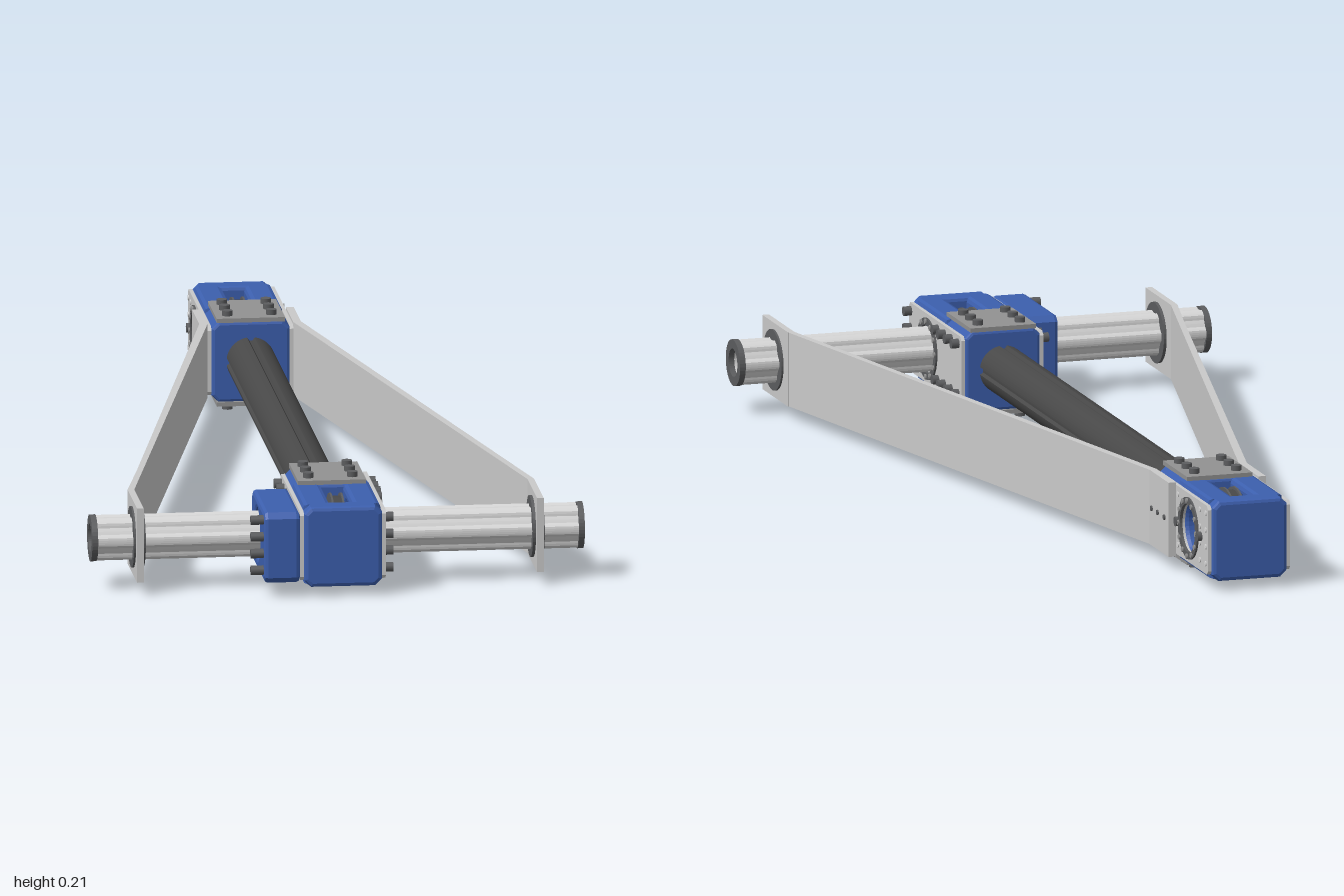
import * as THREE from 'three';

const mat = (name, color) => {
  const m = new THREE.MeshStandardMaterial({ color });
  m.name = name;
  return m;
};
const CY = 0.105;  // height of all centre lines
const AXZ = 0.867; // distance of both axles from the middle

// closed path whose radius varies with the angle
function radialPoints(r, n = 72) {
  return Array.from({ length: n }, (_, i) => {
    const a = (i / n) * Math.PI * 2;
    return new THREE.Vector2(Math.cos(a) * r(a), Math.sin(a) * r(a));
  });
}
const circle = (r, u = 0, v = 0) => new THREE.Path().absarc(u, v, r, 0, Math.PI * 2, true);

function rect(u0, u1, v0, v1, c = 0) {
  return new THREE.Shape([
    [u0 + c, v0], [u1 - c, v0], [u1, v0 + c], [u1, v1 - c],
    [u1 - c, v1], [u0 + c, v1], [u0, v1 - c], [u0, v0 + c],
  ].map(p => new THREE.Vector2(...p)));
}

// extrude along z, or along x (where the shape's u axis runs along -z)
function extrude(shape, depth, bevel = 0) {
  const g = new THREE.ExtrudeGeometry(shape, {
    depth: depth - 2 * bevel, bevelEnabled: bevel > 0, bevelSize: bevel,
    bevelOffset: -bevel, bevelThickness: bevel, bevelSegments: 2, curveSegments: 20,
  });
  return g.translate(0, 0, bevel - depth / 2);
}
const extrudeX = (shape, depth, bevel) => extrude(shape, depth, bevel).rotateY(Math.PI / 2);

export function createModel() {
  const blue = mat('blue housing', 0x3c5fae);
  const dark = mat('dark tube', 0x484848);
  const steel = mat('bolt steel', 0x5c5d5f);
  const grey = mat('grey plate', 0x929292);
  const light = mat('light plate', 0xcacaca);
  const bright = mat('bright shaft', 0xd6d6d6);

  const model = new THREE.Group();
  model.name = 'armLink';
  const add = (parent, name, geo, material, x = 0, y = 0, z = 0) => {
    const m = new THREE.Mesh(geo, material);
    m.name = name;
    m.position.set(x, y, z);
    parent.add(m);
    return m;
  };
  const boltY = new THREE.CylinderGeometry(0.011, 0.011, 0.016, 12);
  const boltX = new THREE.CylinderGeometry(0.01, 0.01, 0.016, 12).rotateZ(Math.PI / 2);
  const dotX = new THREE.CylinderGeometry(0.0055, 0.0055, 0.004, 10).rotateZ(Math.PI / 2);
  const rows = [0.055, 0.09, 0.125, 0.16];

  // splined bore shared by both pulleys
  const spline = (base, amp) => radialPoints(a => base + amp * Math.tanh(3 * Math.cos(6 * a)));

  // housing with its outer end towards +z
  function head(name) {
    const g = new THREE.Group();
    g.name = name;
    model.add(g);
    const section = rect(-0.08, 0.08, 0.02, 0.187, 0.014);
    add(g, 'endBlock', extrude(section, 0.05, 0.008), blue, 0, 0, 0.975);
    add(g, 'tubeClamp', extrude(section, 0.16, 0.006), blue, 0, 0, 0.72);

    for (const s of [-1, 1]) {
      // cheek with bearing bore
      const cheek = rect(-0.97, -0.77, 0.02, 0.187);
      cheek.holes.push(circle(0.057, -AXZ, CY));
      add(g, 'cheek', extrudeX(cheek, 0.058, 0.01), blue, s * 0.051);

      // side cover plate
      const cover = rect(-0.992, -0.645, 0.033, 0.177, 0.008);
      cover.holes.push(circle(0.052, -AXZ, CY));
      add(g, 'sideCover', extrudeX(cover, 0.008), light, s * 0.084);
      const ring = new THREE.Shape().absarc(0, 0, 0.064, 0, Math.PI * 2);
      ring.holes.push(circle(0.05));
      add(g, 'bearingRim', extrudeX(ring, 0.006), steel, s * 0.089, CY, AXZ);
      for (let i = 0; i < 12; i++) {
        const a = (i / 12) * Math.PI * 2;
        add(g, 'rimScrew', dotX, grey, s * 0.093, CY + Math.sin(a) * 0.058, AXZ + Math.cos(a) * 0.058);
      }

      // top and bottom clamp plates with bolts
      const top = s > 0;
      add(g, 'clampPlate', new THREE.BoxGeometry(0.14, 0.009, 0.16), grey, 0, top ? 0.191 : 0.016, 0.718);
      for (const x of [-0.045, 0.045]) for (const z of [0.668, 0.717, 0.766])
        add(g, 'clampBolt', boltY, steel, x, top ? 0.198 : 0.008, z);
    }

    // belt pulley in the slot
    const disc = new THREE.Shape().absarc(0, 0, 0.073, 0, Math.PI * 2);
    disc.holes.push(new THREE.Path(spline(0.045, 0.006)));
    add(g, 'pulley', extrudeX(disc, 0.018), dark, 0, CY, AXZ);
    const flange = new THREE.Shape().absarc(0, 0, 0.079, 0, Math.PI * 2);
    flange.holes.push(new THREE.Path(spline(0.045, 0.006)));
    for (const s of [-1, 1]) add(g, 'pulleyFlange', extrudeX(flange, 0.004), steel, s * 0.011, CY, AXZ);
    return g;
  }

  const front = head('frontHead');
  const rear = head('rearHead');
  rear.rotation.y = Math.PI;

  // bolts on the sides of the heads
  for (const s of [-1, 1]) {
    for (const y of rows) {
      if (s > 0) add(front, 'endBolt', boltX, steel, 0.096, y, 0.98);
      for (const z of [0.94, 0.978]) add(rear, 'coverHole', dotX, bright, s * 0.088, y, z);
    }
    for (const y of [0.055, 0.16]) {
      add(rear, 'coverHole', dotX, bright, s * 0.088, y, 0.795);
      add(front, 'coverBolt', boltX, steel, s * 0.093, y, 0.8);
      for (const z of [0.665, 0.71, 0.755]) add(front, 'coverBolt', boltX, steel, s * 0.096, y, z);
    }
    for (const z of [0.8, 0.945]) add(rear, 'coverBolt', boltX, steel, s * 0.089, CY, z);
  }

  // drive housing beside the front head
  const drive = rect(-1, -0.772, 0.03, 0.177, 0.012);
  drive.holes.push(circle(0.052, -AXZ, CY));
  add(model, 'driveHousing', extrudeX(drive, 0.074, 0.008), blue, -0.125);
  for (const y of rows) {
    add(model, 'driveBolt', boltX, steel, -0.168, y, 0.98);
    add(model, 'driveBoltHead', boltX, steel, -0.18, y, 0.98);
  }

  // main tube with lengthwise grooves
  const tube = radialPoints(a => 0.05 - 0.007 * (Math.abs(Math.cos(2 * a)) > 0.985 ? 1 : 0), 80);
  add(model, 'mainTube', extrude(new THREE.Shape(tube), 1.3), dark, 0, CY, 0);

  // hollow fluted cross shaft with end collars
  const shaft = new THREE.Shape(spline(0.044, 0.003));
  shaft.holes.push(circle(0.031));
  add(model, 'crossShaft', extrudeX(shaft, 0.996), bright, 0, CY, AXZ);
  const collar = new THREE.Shape().absarc(0, 0, 0.048, 0, Math.PI * 2);
  collar.holes.push(circle(0.029));
  const bearing = new THREE.Shape().absarc(0, 0, 0.063, 0, Math.PI * 2);
  bearing.holes.push(circle(0.041));

  for (const s of [-1, 1]) {
    add(model, 'endCollar', extrudeX(collar, 0.012), steel, s * 0.499, CY, AXZ);
    add(model, 'shaftBearing', extrudeX(bearing, 0.024), steel, s * 0.409, CY, AXZ);

    // side brace: bored front plate, then a bent strip back to the rear head
    const plate = rect(-0.945, -0.775, 0.027, 0.182);
    plate.holes.push(circle(0.06, -AXZ, CY));
    add(model, 'bracePlate', extrudeX(plate, 0.014), light, s * 0.41);
    const strip = new THREE.Shape([
      [0.403, 0.776], [0.417, 0.776], [0.417, 0.786], [0.104, -0.655],
      [0.104, -0.78], [0.088, -0.78], [0.088, -0.65],
    ].map(([x, z]) => new THREE.Vector2(s * x, z)));
    add(model, 'braceStrip', extrude(strip, 0.155).rotateX(Math.PI / 2), light, 0, 0.1045, 0);
    for (const z of [-0.67, -0.71, -0.755]) add(model, 'braceScrew', dotX, steel, s * 0.105, CY, z);
  }
  return model;
}
